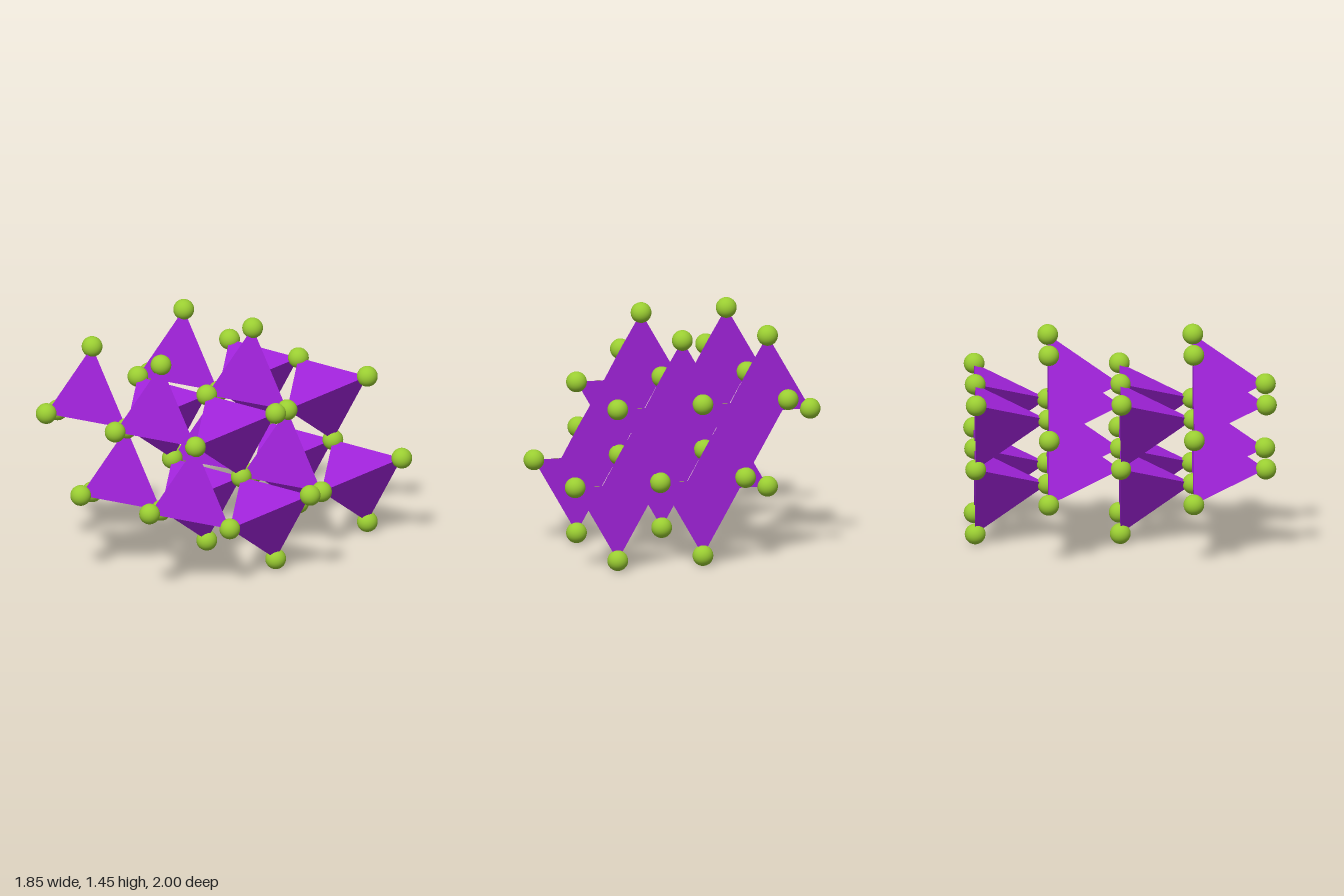
import * as THREE from 'three';

const EDGE = 0.5714;                        // tetrahedron edge
const DEPTH = EDGE * Math.sqrt(2 / 3);      // tetrahedron height, along z
const RISE = EDGE * Math.sqrt(3) / 2;       // height of a triangular face
const RADIUS = EDGE / Math.sqrt(3);         // centre to corner of a face
const ATOM = 0.067;                         // sphere radius

export function createModel() {
  const group = new THREE.Group();
  const purple = new THREE.MeshStandardMaterial({ color: 0x9f22d8 });
  purple.name = 'purple';
  const green = new THREE.MeshStandardMaterial({ color: 0x9acd32 });
  green.name = 'yellowGreen';

  // Tetrahedron with its apex facing +z; the back face points down or up
  const makeTetra = (turn) => {
    const g = new THREE.ConeGeometry(RADIUS, DEPTH, 3)
      .rotateX(Math.PI / 2).rotateZ(turn).toNonIndexed();
    g.computeVertexNormals();
    return g;
  };
  const downGeo = makeTetra(0);
  const upGeo = makeTetra(Math.PI);
  const atomGeo = new THREE.SphereGeometry(ATOM, 32, 20);
  const atoms = new Map();

  // Corner spheres are shared between neighbouring tetrahedra
  const addAtom = (x, y, z) => {
    const key = [x, y, z].map((v) => Math.round(v * 100)).join();
    if (atoms.has(key)) return;
    const atom = new THREE.Mesh(atomGeo, green);
    atom.name = 'cornerSphere';
    atom.position.set(x, y, z);
    atoms.set(key, atom);
    group.add(atom);
  };

  // x, y: centre of the back face; z: plane of the back face
  const addTetra = (x, y, z, up) => {
    const mesh = new THREE.Mesh(up ? upGeo : downGeo, purple);
    mesh.name = up ? 'upTetrahedron' : 'downTetrahedron';
    mesh.position.set(x, y, z + DEPTH / 2);
    group.add(mesh);
    const s = up ? 1 : -1;
    addAtom(x, y, z + DEPTH);
    addAtom(x, y + s * RADIUS, z);
    for (const side of [-1, 1]) addAtom(x + side * EDGE / 2, y - s * RADIUS / 2, z);
  };

  // Two repeats in depth, two storeys, two columns of an up and a down layer
  for (const layer of [0, 1]) {
    const upZ = DEPTH - layer * 2 * DEPTH;
    for (const storey of [0, 1]) {
      const downY = ATOM + RADIUS + storey * RISE;
      for (const column of [0, 1]) {
        const downX = (column - storey / 2) * EDGE;
        addTetra(downX, downY, upZ - DEPTH, false);
        addTetra(downX - EDGE / 2, downY + RADIUS / 2, upZ, true);
      }
    }
  }
  return group;
}
